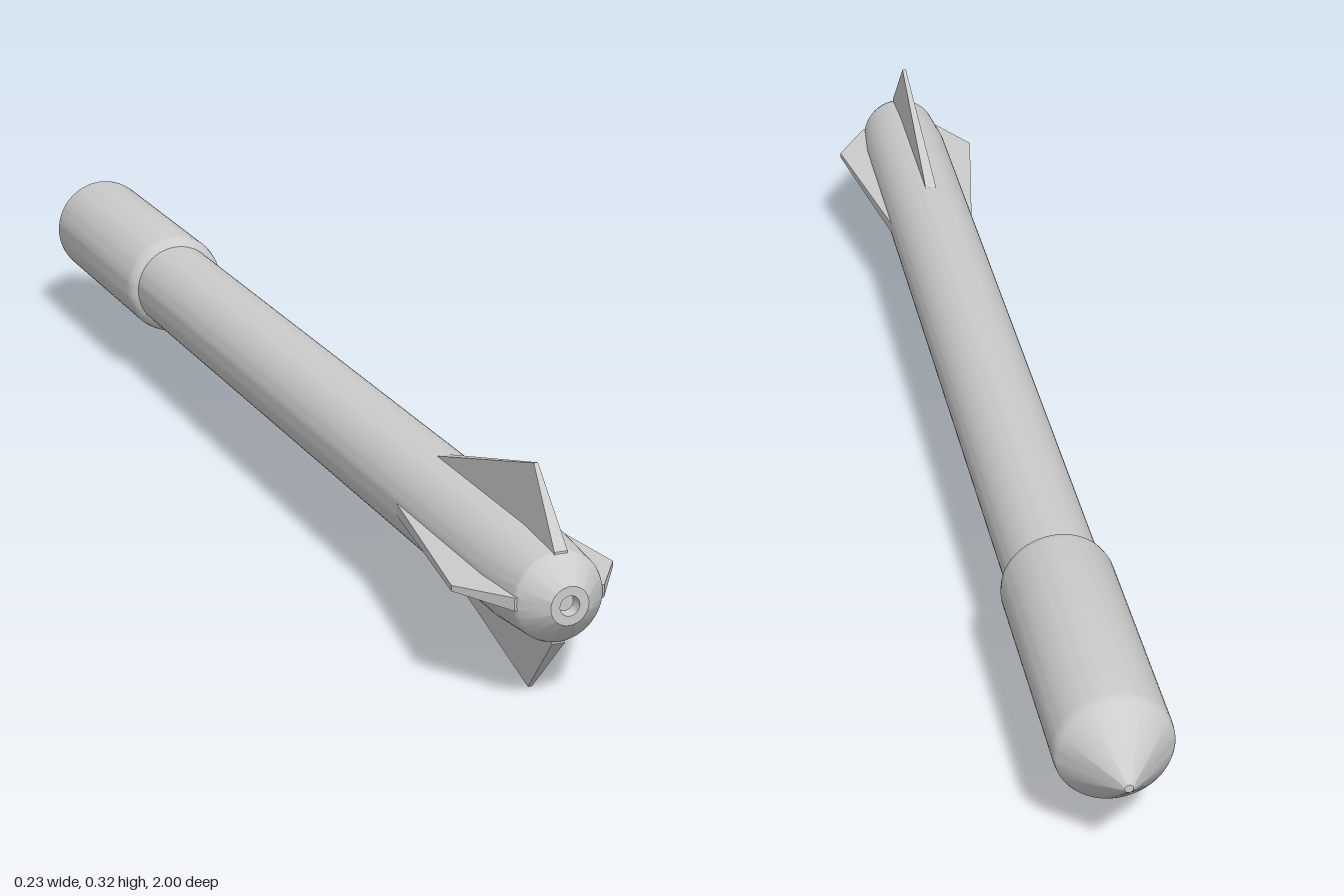
import * as THREE from 'three';
import { toCreasedNormals } from 'three/addons/utils/BufferGeometryUtils.js';

const AXIS_Y = 0.16;

// Round part about the z axis from [radius, z] points, running from -z to +z
function turned(name, points, material) {
  const profile = points.map(([r, z]) => new THREE.Vector2(r, z));
  const geometry = new THREE.LatheGeometry(profile, 64);
  geometry.rotateX(Math.PI / 2);
  const mesh = new THREE.Mesh(toCreasedNormals(geometry, 0.55), material);
  mesh.name = name;
  return mesh;
}

// Upright fin, thick at the root and thin at the tip
function finGeometry(span, tipHalf) {
  const root = 0.055, rootHalf = 0.01;
  const shape = new THREE.Shape([
    new THREE.Vector2(-0.97, root),
    new THREE.Vector2(-0.97, 0.064),
    new THREE.Vector2(-0.89, span),
    new THREE.Vector2(-0.6, 0.07),
    new THREE.Vector2(-0.6, root),
  ]);
  const geometry = new THREE.ExtrudeGeometry(shape, { depth: 1, bevelEnabled: false });
  geometry.translate(0, 0, -0.5);
  const p = geometry.attributes.position;
  for (let i = 0; i < p.count; i++) {
    const t = (p.getY(i) - root) / (span - root);
    p.setZ(i, Math.sign(p.getZ(i)) * THREE.MathUtils.lerp(rootHalf, tipHalf, t));
  }
  geometry.rotateY(Math.PI / 2);
  geometry.computeVertexNormals();
  return geometry;
}

export function createModel() {
  const model = new THREE.Group();
  model.name = 'rocket';
  const material = new THREE.MeshStandardMaterial({ color: 0xcccccc });

  const hull = new THREE.Group();
  hull.name = 'hull';
  hull.position.y = AXIS_Y;
  model.add(hull);

  // Wide head with a blunt cone and a rounded shoulder
  hull.add(turned('warhead', [
    [0, -1], [0.006, -0.999], [0.011, -0.993], [0.079, -0.915], [0.082, -0.909],
    [0.083, -0.9], [0.083, -0.525], [0.081, -0.514], [0.076, -0.507], [0.07, -0.503], [0.069, -0.5],
  ], material));

  // Long tube, narrowing slightly at the tail
  hull.add(turned('body', [
    [0.07, -0.52], [0.07, 0.88], [0.063, 0.965],
  ], material));

  // Tail cone with a small recessed nozzle
  hull.add(turned('nozzle', [
    [0.063, 0.965], [0.06, 0.973], [0.027, 1], [0.014, 1], [0.012, 0.985], [0, 0.985],
  ], material));

  // Tall fins above and below, short fins at the sides
  const tall = finGeometry(0.158, 0.003);
  const short = finGeometry(0.117, 0.004);
  ['topFin', 'leftFin', 'bottomFin', 'rightFin'].forEach((name, i) => {
    const fin = new THREE.Mesh(i % 2 ? short : tall, material);
    fin.name = name;
    fin.rotation.z = -i * Math.PI / 2;
    hull.add(fin);
  });

  return model;
}
